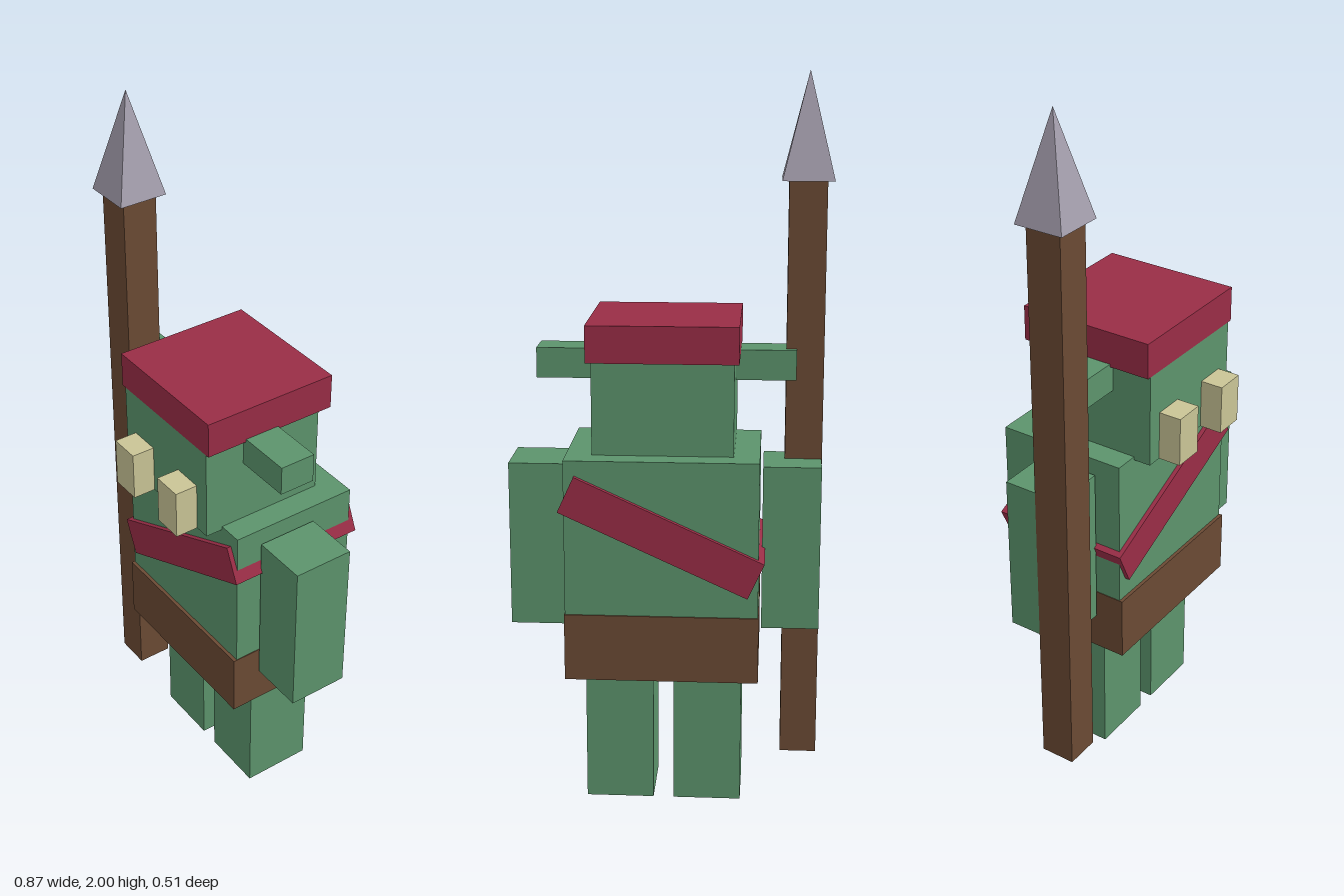
import * as THREE from 'three';

const material = (name, color) => {
  const m = new THREE.MeshStandardMaterial({ color });
  m.name = name;
  return m;
};

export function createModel() {
  const skin = material('green skin', 0x5c946c);
  const cloth = material('red cloth', 0x992d46);
  const wood = material('brown wood and leather', 0x6b4a34);
  const ivory = material('ivory', 0xcac596);
  const metal = material('grey metal', 0xa59fae);

  const model = new THREE.Group();
  model.name = 'spearGuard';

  // Box given by its extents along each axis
  const box = (name, mat, [x0, x1], [y0, y1], [z0, z1]) => {
    const mesh = new THREE.Mesh(new THREE.BoxGeometry(x1 - x0, y1 - y0, z1 - z0), mat);
    mesh.position.set((x0 + x1) / 2, (y0 + y1) / 2, (z0 + z1) / 2);
    mesh.name = name;
    model.add(mesh);
    return mesh;
  };

  // Pair of boxes mirrored about the body's centre line
  const centre = 0.01;
  const pair = (name, mat, [inner, outer], y, z) => {
    box('left' + name, mat, [centre + inner, centre + outer], y, z);
    box('right' + name, mat, [centre - outer, centre - inner], y, z);
  };

  // Body
  box('torso', skin, [-0.25, 0.27], [0.56, 1.0], [-0.24, 0.137]);
  box('belt', wood, [-0.252, 0.272], [0.387, 0.572], [-0.244, 0.147]);
  pair('Leg', skin, [0.028, 0.215], [0, 0.388], [-0.15, 0.052]);
  pair('Arm', skin, [0.268, 0.426], [0.497, 0.957], [-0.109, 0.065]);

  // Slanted sash wrapping the chest
  const sash = box('sash', cloth, [-0.2692, 0.2882], [0.7415, 0.8485], [-0.255, 0.15]);
  sash.rotation.z = Math.atan2(0.232, 0.507);

  // Head
  box('head', skin, [-0.18, 0.2], [0.99, 1.335], [-0.174, 0.187]);
  box('cap', cloth, [-0.193, 0.212], [1.255, 1.355], [-0.205, 0.188]);
  pair('Ear', skin, [0.18, 0.354], [1.18, 1.263], [-0.032, 0.07]);
  pair('Tusk', ivory, [0.059, 0.146], [0.99, 1.13], [0.16, 0.252]);

  // Spear
  box('spearShaft', wood, [-0.418, -0.316], [0.088, 1.72], [-0.013, 0.088]);
  const tipGeometry = new THREE.ConeGeometry(0.07 * Math.SQRT2, 0.285, 4)
    .rotateY(Math.PI / 4).toNonIndexed();
  tipGeometry.computeVertexNormals();
  const tip = new THREE.Mesh(tipGeometry, metal);
  tip.name = 'spearTip';
  tip.position.set(-0.367, 1.8575, 0.037);
  model.add(tip);

  return model;
}
